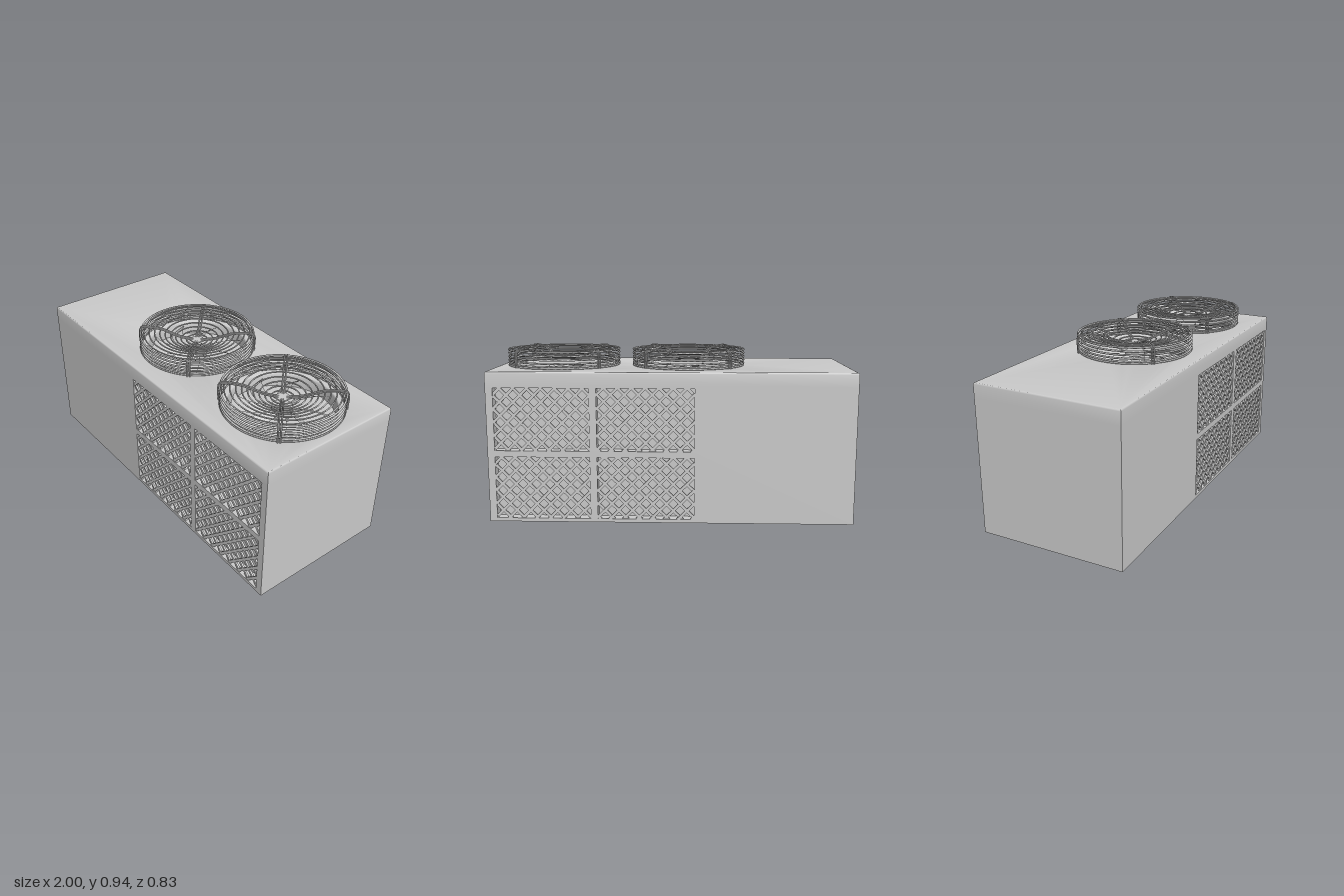
import * as THREE from 'three';
import { toCreasedNormals } from 'three/addons/utils/BufferGeometryUtils.js';

const W = 1, H = 0.833, D = 0.415;          // half width, height, half depth
const SLAB = 0.08, RECESS = 0.06, BEVEL = 0.01;
const FAN_X = [-0.09, 0.635];
const WINDOWS_X = [[-0.13, 0.4], [0.44, 0.96]];
const WINDOWS_Y = [[0.02, 0.365], [0.4, 0.745]];

const grey = new THREE.MeshStandardMaterial({ color: 0xcccccc });
const greyThin = new THREE.MeshStandardMaterial({ color: 0xcccccc, side: THREE.DoubleSide });

function add(parent, name, geometry, material = grey) {
  const mesh = new THREE.Mesh(geometry, material);
  mesh.name = name;
  parent.add(mesh);
  return mesh;
}

function rect(Type, x0, y0, x1, y1) {
  const r = new Type();
  r.moveTo(x0, y0);
  r.lineTo(x1, y0);
  r.lineTo(x1, y1);
  r.lineTo(x0, y1);
  r.closePath();
  return r;
}

// Top slab with softened upper edges and two round fan openings
function topSlabGeometry() {
  const shape = rect(THREE.Shape, -W + BEVEL, -D + BEVEL, W - BEVEL, D - BEVEL);
  for (const x of FAN_X) {
    const hole = new THREE.Path();
    hole.absarc(x, 0, 0.295, 0, Math.PI * 2, true);
    shape.holes.push(hole);
  }
  const g = new THREE.ExtrudeGeometry(shape, {
    depth: SLAB - BEVEL, bevelThickness: BEVEL, bevelSize: BEVEL, bevelSegments: 3, curveSegments: 24,
  });
  g.rotateX(-Math.PI / 2);
  // Flatten the lower bevel so the slab sits flush on the walls
  const p = g.attributes.position;
  for (let i = 0; i < p.count; i++) p.setY(i, Math.max(p.getY(i), 0) + H - SLAB);
  return toCreasedNormals(g, 0.6);
}

// Side panel with four window openings
function sidePanelGeometry() {
  const shape = rect(THREE.Shape, -W, 0, W, H - SLAB);
  for (const [x0, x1] of WINDOWS_X)
    for (const [y0, y1] of WINDOWS_Y) shape.holes.push(rect(THREE.Path, x0, y0, x1, y1));
  return new THREE.ExtrudeGeometry(shape, { depth: RECESS, bevelEnabled: false });
}

// Crossed diagonal bars clipped to a window
function lattice([x0, x1], [y0, y1]) {
  const group = new THREE.Group();
  group.name = 'lattice';
  const w = x1 - x0, h = y1 - y0, step = 0.075;
  for (const dir of [1, -1]) {
    for (let c = -h + step / 2; c < w; c += step) {
      const a = Math.max(0, c), b = Math.min(w, c + h);
      if (b - a < 0.01) continue;
      const bar = add(group, 'latticeBar', new THREE.BoxGeometry((b - a) * Math.SQRT2 + 0.008, 0.016, 0.01));
      const mx = (a + b) / 2;
      bar.position.set(dir > 0 ? x0 + mx : x1 - mx, y0 + mx - c, dir * 0.001);
      bar.rotation.z = dir * Math.PI / 4;
    }
  }
  return group;
}

// Sickle-shaped, pitched blade
function bladeGeometry() {
  const g = new THREE.PlaneGeometry(1, 1, 8, 4);
  const p = g.attributes.position;
  for (let i = 0; i < p.count; i++) {
    const u = p.getX(i) + 0.5, v = p.getY(i);
    const r = 0.045 + 0.225 * u;
    const width = 0.03 + 0.05 * u;
    const angle = 0.3 * u * u + (v * width) / r;
    p.setXYZ(i, r * Math.cos(angle), v * width * 0.55 - 0.006 * u, r * Math.sin(angle));
  }
  g.computeVertexNormals();
  return g;
}

// Height of the dished guard at a given radius
const dish = (r) => 0.868 + 0.057 * THREE.MathUtils.smoothstep(r, 0.02, 0.27);

function createFan() {
  const fan = new THREE.Group();
  fan.name = 'fan';

  // Rotor
  const hub = add(fan, 'fanHub', new THREE.CylinderGeometry(0.055, 0.055, 0.05, 24));
  hub.position.y = 0.795;
  const blade = bladeGeometry();
  for (let i = 0; i < 8; i++) {
    const m = add(fan, 'fanBlade', blade, greyThin);
    m.position.y = 0.8;
    m.rotation.y = (i * Math.PI) / 4 + 0.1;
  }

  // Guard rings: dished top and cylindrical side
  const ring = (name, r, y, tube) => {
    const t = add(fan, name, new THREE.TorusGeometry(r, tube, 6, 56));
    t.rotation.x = Math.PI / 2;
    t.position.y = y;
  };
  for (let r = 0.06; r < 0.315; r += 0.03) ring('guardTopRing', r, dish(r), 0.004);
  for (const y of [0.838, 0.848, 0.865, 0.884, 0.905, 0.925]) ring('guardSideRing', 0.32, y, 0.0055);

  // Paired wire ribs on the diagonals
  const profile = [[0.02, 0.874], [0.1, 0.887], [0.2, 0.925], [0.26, 0.933], [0.315, 0.932], [0.328, 0.92], [0.328, 0.825]];
  for (let i = 0; i < 4; i++) {
    const rib = new THREE.Group();
    rib.name = 'guardRib';
    rib.rotation.y = Math.PI / 4 + (i * Math.PI) / 2;
    for (const z of [-0.007, 0.007]) {
      const path = new THREE.CatmullRomCurve3(profile.map(([x, y]) => new THREE.Vector3(x, y, z)), false, 'centripetal');
      add(rib, 'ribWire', new THREE.TubeGeometry(path, 28, 0.0045, 6));
    }
    fan.add(rib);
  }
  const plate = add(fan, 'guardCentrePlate', new THREE.BoxGeometry(0.07, 0.008, 0.07));
  plate.position.y = 0.872;
  return fan;
}

export function createModel() {
  const model = new THREE.Group();
  model.name = 'rooftopCoolingUnit';

  // Cabinet
  const core = add(model, 'cabinetCore', new THREE.BoxGeometry(2 * W, H - SLAB, 2 * (D - RECESS)));
  core.position.y = (H - SLAB) / 2;
  add(model, 'topSlab', topSlabGeometry());

  // Front and back panels with lattice windows
  const panel = sidePanelGeometry();
  for (const side of [1, -1]) {
    add(model, side > 0 ? 'frontPanel' : 'backPanel', panel).position.z = side > 0 ? D - RECESS : -D;
    for (const wx of WINDOWS_X)
      for (const wy of WINDOWS_Y) {
        const l = lattice(wx, wy);
        l.position.z = side * (D - 0.009);
        model.add(l);
      }
  }

  // Fans
  for (const x of FAN_X) {
    const fan = createFan();
    fan.position.x = x;
    model.add(fan);
  }
  return model;
}
